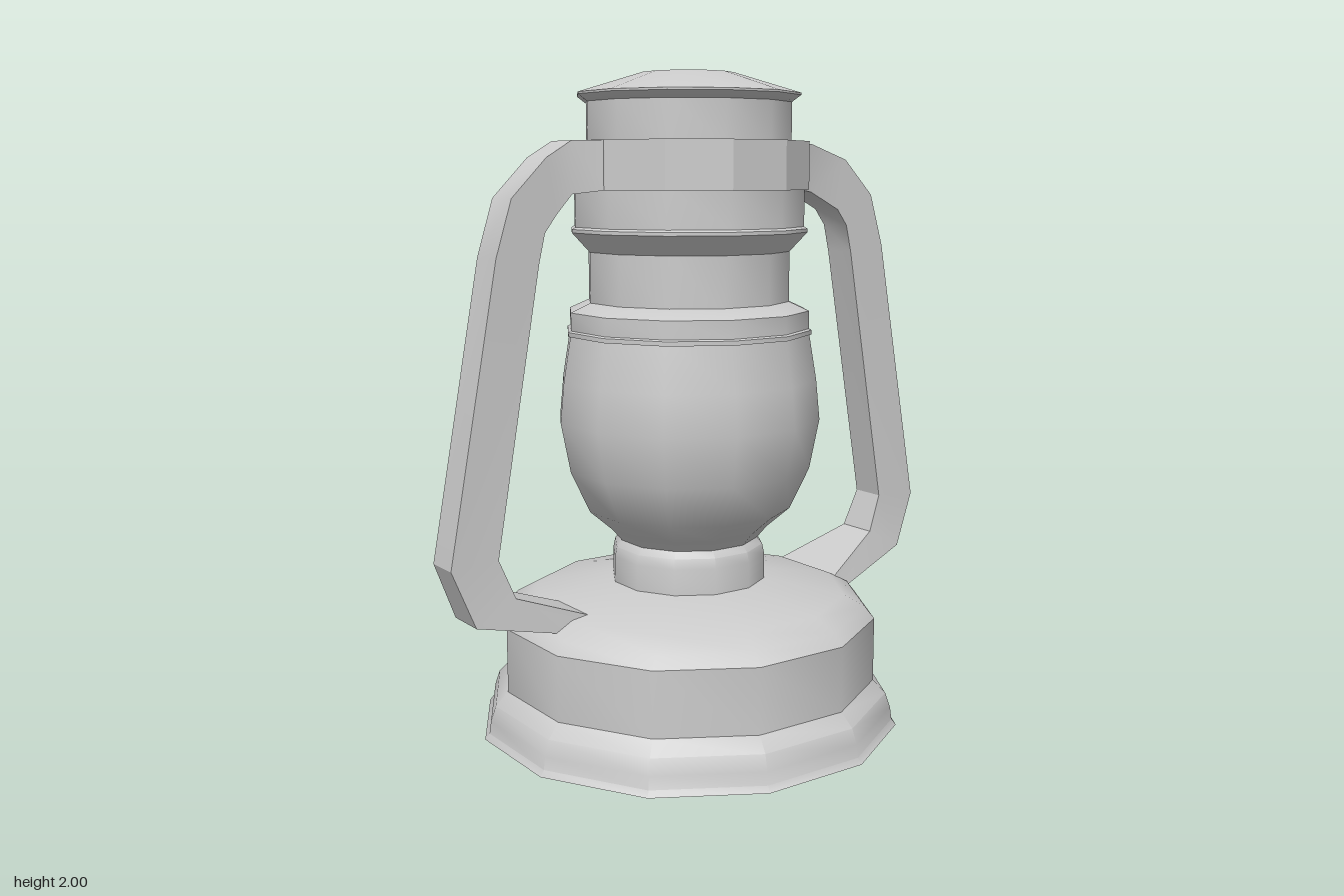
import * as THREE from 'three';
import { toCreasedNormals } from 'three/addons/utils/BufferGeometryUtils.js';

const BODY_X = -0.03; // the lantern body sits slightly off the handle's centre
const SIDES = 12;
const material = new THREE.MeshStandardMaterial({ color: 0xcccccc });

// Twelve-sided turned part; profile is [flat-to-centre radius, y], bottom to top
function turned(name, profile, crease = 0.6) {
  const k = 1 / Math.cos(Math.PI / SIDES);
  const points = profile.map(([r, y]) => new THREE.Vector2(r * k, y));
  const lathe = new THREE.LatheGeometry(points, SIDES, Math.PI / SIDES);
  const mesh = new THREE.Mesh(toCreasedNormals(lathe, crease), material);
  mesh.name = name;
  mesh.position.x = BODY_X;
  return mesh;
}

// Strap swept through sections [outerX, outerY, innerX, innerY, halfWidth]
function strap(name, sections, side) {
  const positions = [];
  const index = [];
  for (const [ox, oy, ix, iy, w] of sections) {
    positions.push(side * ox, oy, w, side * ox, oy, -w, side * ix, iy, -w, side * ix, iy, w);
  }
  const quad = (a, b, c, d) =>
    side > 0 ? index.push(a, b, c, a, c, d) : index.push(a, c, b, a, d, c);
  const last = (sections.length - 1) * 4;
  for (let s = 0; s < last; s += 4) {
    for (let j = 0; j < 4; j++) {
      const n = (j + 1) % 4;
      quad(s + j, s + 4 + j, s + 4 + n, s + n);
    }
  }
  quad(0, 1, 2, 3);
  quad(last + 3, last + 2, last + 1, last);
  const geometry = new THREE.BufferGeometry();
  geometry.setAttribute('position', new THREE.Float32BufferAttribute(positions, 3));
  geometry.setIndex(index);
  const mesh = new THREE.Mesh(toCreasedNormals(geometry, 0.5), material);
  mesh.name = name;
  return mesh;
}

export function createModel() {
  const lantern = new THREE.Group();
  lantern.name = 'lantern';

  // Fuel tank with a rolled foot and a domed shoulder
  lantern.add(turned('fuelTank', [
    [0, 0], [0.625, 0.035], [0.612, 0.052], [0.607, 0.09], [0.592, 0.135],
    [0.555, 0.175], [0.555, 0.37], [0.528, 0.405], [0.465, 0.44], [0.2, 0.487], [0, 0.487],
  ]));
  lantern.add(turned('burnerNeck', [
    [0, 0.46], [0.228, 0.46], [0.228, 0.56], [0.222, 0.59], [0.205, 0.612], [0, 0.612],
  ]));

  // Glass globe
  lantern.add(turned('globe', [
    [0, 0.605], [0.205, 0.608], [0.235, 0.645], [0.302, 0.705], [0.358, 0.83],
    [0.386, 0.98], [0.375, 1.1], [0.352, 1.245], [0, 1.245],
  ]));
  lantern.add(turned('globeCollar', [
    [0, 1.235], [0.36, 1.235], [0.36, 1.248], [0.352, 1.252],
    [0.352, 1.305], [0.294, 1.332], [0, 1.332],
  ]));

  // Chimney, flared ring, carrying band and cap
  lantern.add(turned('chimney', [[0, 1.3], [0.294, 1.3], [0.294, 1.49], [0, 1.49]]));
  lantern.add(turned('flaredRing', [
    [0, 1.48], [0.294, 1.48], [0.345, 1.537], [0.345, 1.547], [0.335, 1.553],
    [0.335, 1.67], [0, 1.67],
  ]));
  lantern.add(turned('carryingBand', [[0, 1.66], [0.348, 1.66], [0.348, 1.8], [0, 1.8]], 0.4));
  lantern.add(turned('upperVent', [[0, 1.78], [0.297, 1.78], [0.297, 1.92], [0, 1.92]]));
  lantern.add(turned('cap', [
    [0, 1.912], [0.297, 1.912], [0.323, 1.932], [0.323, 1.938], [0.133, 1.998], [0, 2],
  ], 0.7));

  // Side handles running from the band down to the tank shoulder
  for (const side of [1, -1]) {
    const band = 0.34 + side * BODY_X;
    const foot = 0.46 - side * BODY_X;
    const flare = side > 0 ? 0.14 : 0.09;
    lantern.add(strap(side > 0 ? 'leftHandle' : 'rightHandle', [
      [band, 1.799, band, 1.661, 0.092],
      [band + 0.09, 1.797, band + 0.09, 1.65, 0.055],
      [0.54, 1.75, 0.51, 1.595, 0.055],
      [0.65, 1.64, 0.548, 1.545, 0.055],
      [0.70, 1.48, 0.568, 1.46, 0.055],
      [0.858, 0.635, 0.712, 0.645, 0.055],
      [0.79, 0.465, 0.665, 0.53, 0.065],
      [foot, 0.385, foot - 0.05, 0.425, flare],
    ], side));
  }
  return lantern;
}
